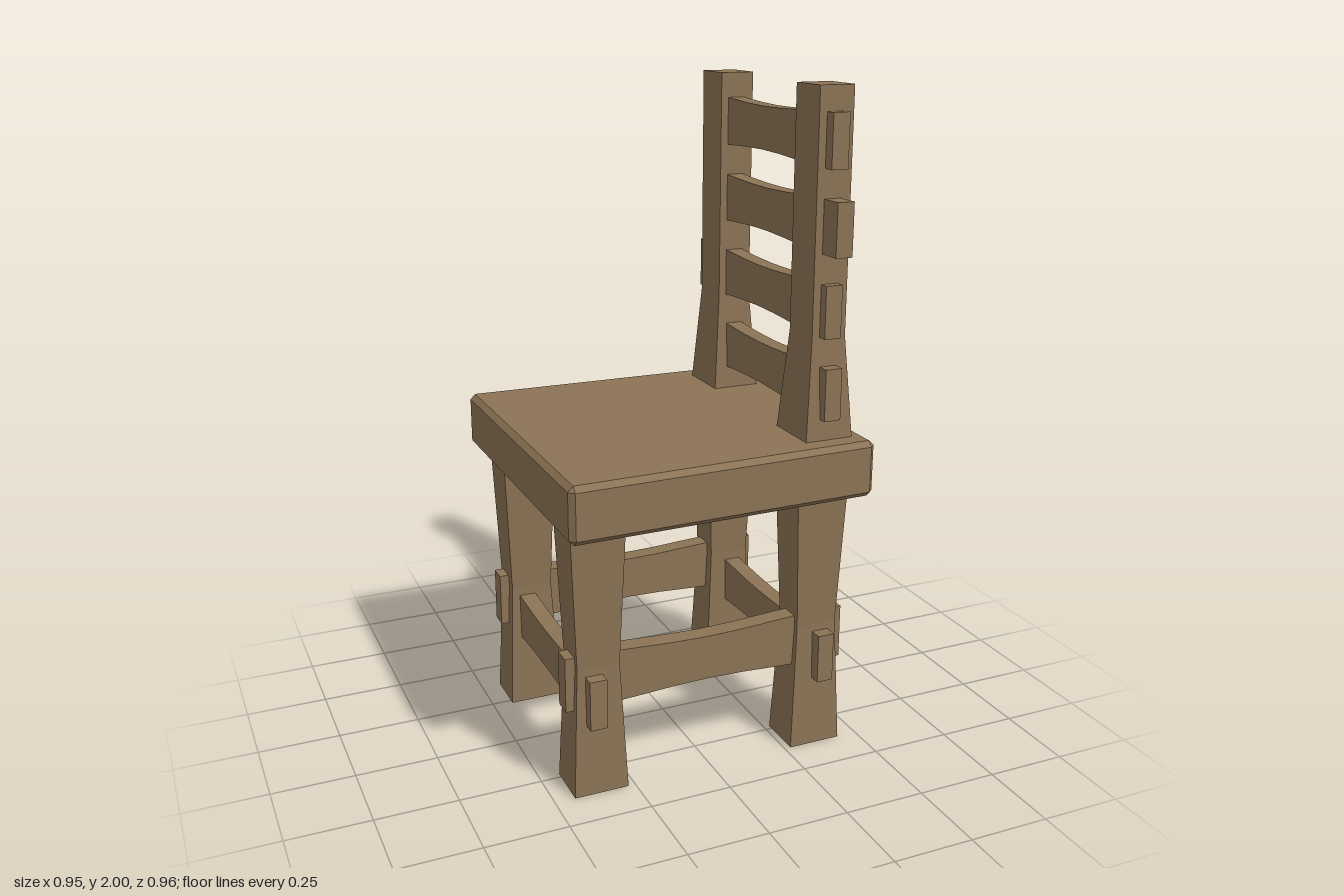
import * as THREE from 'three';
import { ConvexGeometry } from 'three/addons/geometries/ConvexGeometry.js';

const wood = new THREE.MeshStandardMaterial({ color: 0x8b7355, flatShading: true });
wood.name = 'brown wood';

function addMesh(parent, name, geometry) {
  const mesh = new THREE.Mesh(geometry, wood);
  mesh.name = name;
  parent.add(mesh);
  return mesh;
}

// Square timber through levels [y, width in x, depth in z], centred on x, z.
function timber(x, z, levels) {
  const g = new THREE.BoxGeometry(1, levels.length - 1, 1, 1, levels.length - 1, 1);
  const p = g.attributes.position;
  const half = (levels.length - 1) / 2;
  for (let i = 0; i < p.count; i++) {
    const [y, w, d] = levels[Math.round(p.getY(i) + half)];
    p.setXYZ(i, x + p.getX(i) * w, y, z + p.getZ(i) * d);
  }
  g.computeVertexNormals();
  return g;
}

// Horizontal slat along x, from a to b, slightly narrower in the middle.
function slat(a, b, height, thickness) {
  const g = new THREE.BoxGeometry(b - a, height, thickness, 8, 1, 1);
  g.translate((a + b) / 2, 0, 0);
  const p = g.attributes.position;
  for (let i = 0; i < p.count; i++) {
    const t = Math.min(1, Math.abs(p.getX(i)) / 0.4);
    const waist = 0.82 + 0.18 * Math.sin(t * Math.PI / 2) ** 2;
    p.setY(i, p.getY(i) * waist);
  }
  g.computeVertexNormals();
  return g;
}

// Seat board tapering in depth towards +x, with all edges chamfered.
function seatGeometry() {
  const b = 0.016, points = [];
  for (const sx of [-1, 1]) for (const sy of [-1, 1]) for (const sz of [-1, 1]) {
    const x = 0.473 * sx, y = 0.915 + 0.085 * sy;
    const z = (sx < 0 ? 0.481 : 0.461) * sz;
    points.push(
      new THREE.Vector3(x, y - b * sy, z - b * sz),
      new THREE.Vector3(x - b * sx, y, z - b * sz),
      new THREE.Vector3(x - b * sx, y - b * sy, z));
  }
  return new ConvexGeometry(points);
}

export function createModel() {
  const chair = new THREE.Group();
  chair.name = 'chair';

  addMesh(chair, 'seat', seatGeometry());

  // Legs pinched at mid height
  for (const x of [-0.355, 0.353]) for (const z of [-0.304, 0.304]) {
    addMesh(chair, 'leg', timber(x, z, [
      [0, 0.167, 0.142], [0.4, 0.13, 0.112], [0.85, 0.167, 0.142]]));
  }

  // Back posts flaring at the seat
  for (const z of [-0.304, 0.304]) {
    addMesh(chair, 'backPost', timber(0.354, z, [
      [0.99, 0.152, 0.182], [1.3, 0.107, 0.132], [2, 0.107, 0.132]]));
  }

  // Back slats: [centre y, z start, z end]
  for (const [y, z0, z1] of [
    [1.853, -0.42, 0.405], [1.617, -0.385, 0.445],
    [1.378, -0.43, 0.4], [1.14, -0.41, 0.415]]) {
    const m = addMesh(chair, 'backSlat', slat(-z1, -z0, 0.154, 0.052));
    m.rotation.y = Math.PI / 2;
    m.position.set(0.35, y, 0);
  }

  // Stretchers along x
  for (const z of [-0.311, 0.314]) {
    addMesh(chair, 'longStretcher', slat(-0.45, 0.447, 0.168, 0.058)).position.set(0, 0.35, z);
  }

  // Stretchers along z
  for (const [x, z0, z1] of [[-0.37, -0.4, 0.4], [0.366, -0.384, 0.402]]) {
    const m = addMesh(chair, 'sideStretcher', slat(-z1, -z0, 0.154, 0.052));
    m.rotation.y = Math.PI / 2;
    m.position.set(x, 0.3, 0);
  }

  return chair;
}
